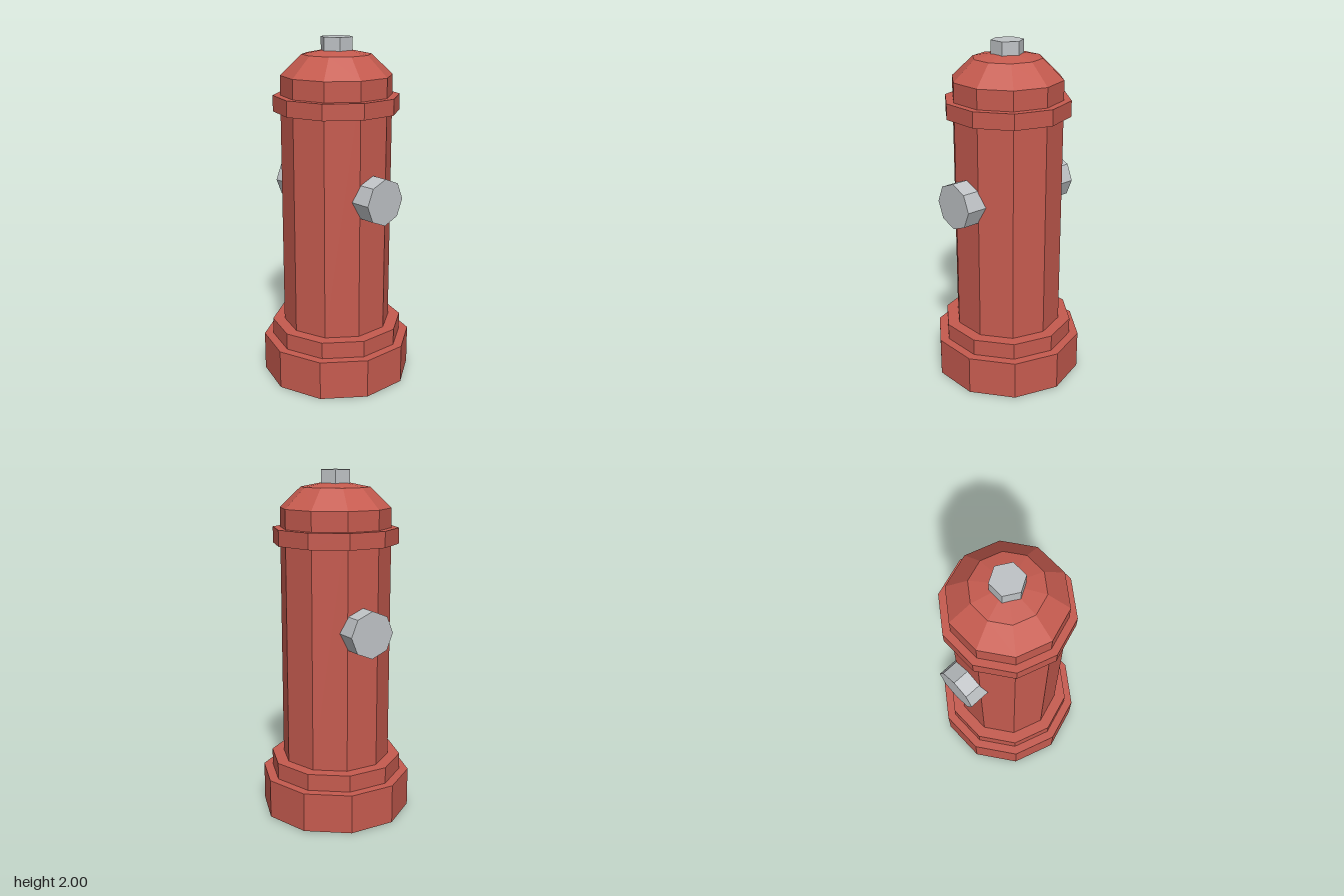
import * as THREE from 'three';

export function createModel() {
  const model = new THREE.Group();
  model.name = 'fireHydrant';

  const red = new THREE.MeshStandardMaterial({ color: 0xc65b4f, flatShading: true });
  red.name = 'hydrant red';
  const metal = new THREE.MeshStandardMaterial({ color: 0xbfc3c6, flatShading: true });
  metal.name = 'light metal';

  // Upright prism between two heights
  function prism(name, radius, y0, y1, sides, material) {
    const mesh = new THREE.Mesh(new THREE.CylinderGeometry(radius, radius, y1 - y0, sides), material);
    mesh.position.y = (y0 + y1) / 2;
    mesh.name = name;
    model.add(mesh);
  }

  // Ten-sided barrel with its stepped foot and collar
  prism('base', 0.44, 0, 0.228, 10, red);
  prism('baseStep', 0.387, 0.228, 0.325, 10, red);
  prism('barrel', 0.317, 0.325, 1.79, 10, red);
  prism('collar', 0.36, 1.59, 1.68, 10, red);

  // Faceted dome
  const profile = [[0.317, 1.79], [0.196, 1.905], [0, 1.943]].map(([r, y]) => new THREE.Vector2(r, y));
  const dome = new THREE.Mesh(new THREE.LatheGeometry(profile, 10), red);
  dome.name = 'dome';
  model.add(dome);

  // Hexagonal bolt on top
  prism('topBolt', 0.093, 1.92, 2, 6, metal);

  // Octagonal outlet caps on both sides
  for (const side of [1, -1]) {
    const cap = new THREE.Mesh(new THREE.CylinderGeometry(0.133, 0.133, 0.2, 8), metal);
    cap.rotation.z = -side * Math.PI / 2;
    cap.position.set(side * 0.3, 1.13, 0);
    cap.name = side > 0 ? 'leftOutletCap' : 'rightOutletCap';
    model.add(cap);
  }

  return model;
}
